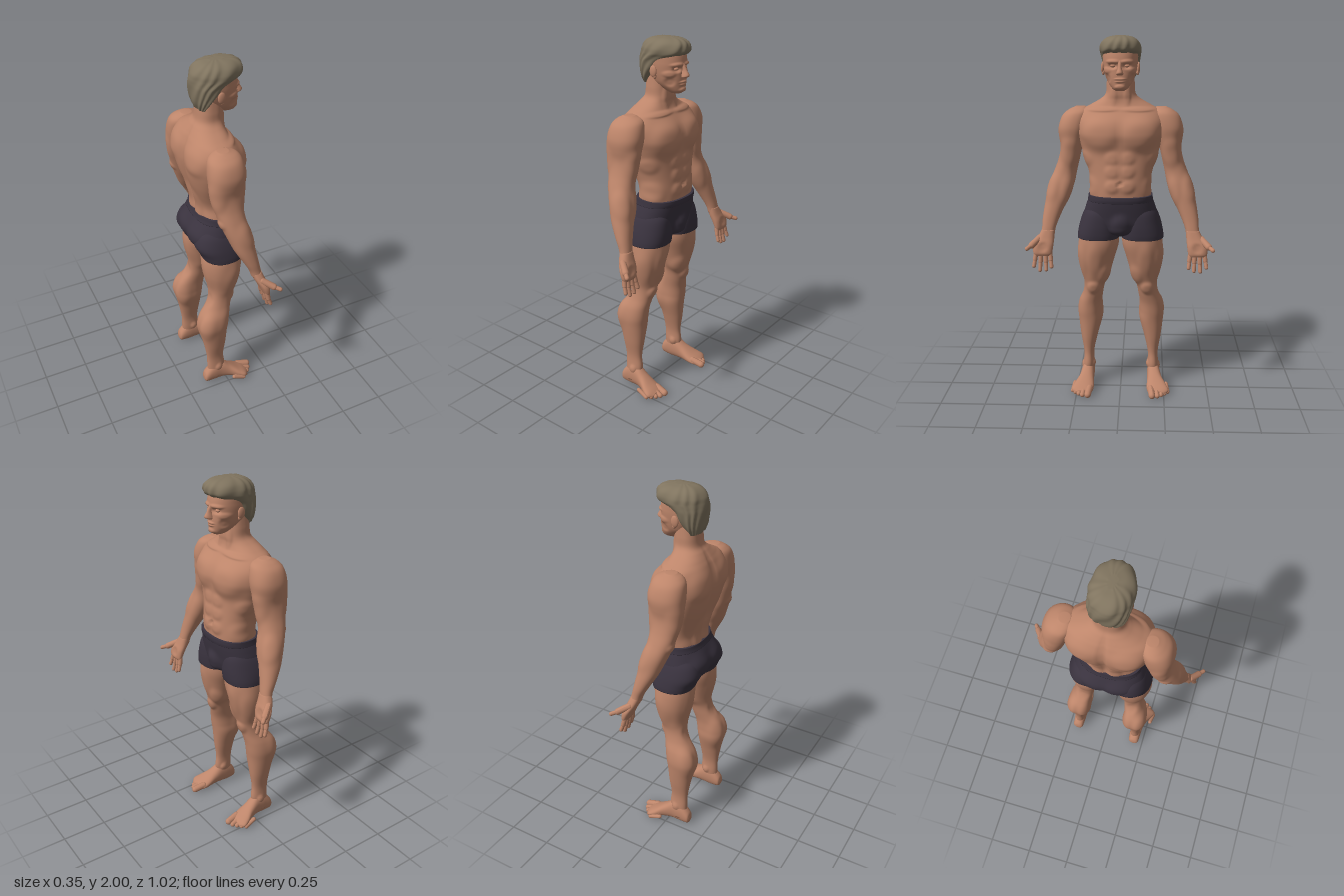
import * as THREE from 'three';
import { mergeGeometries } from 'three/addons/utils/BufferGeometryUtils.js';

const skin = new THREE.MeshStandardMaterial({ color: 0xbd856a });
skin.name = 'skin';
const hairTone = new THREE.MeshStandardMaterial({ color: 0x80745f });
hairTone.name = 'hair';
const cloth = new THREE.MeshStandardMaterial({ color: 0x3a333f });
cloth.name = 'dark cloth';

// Smooth body from horizontal slices [y, xBack, xFront, zMin, zMax] listed upward.
// Bumps [x, y, z, sizeX, sizeY, sizeZ, amount] swell or hollow the surface on both sides of z = 0.
function loft(rows, { power = 2.2, bumps = [], ripple = 0, n = 56, steps = 8 } = {}) {
  const curve = (a, b) => new THREE.CatmullRomCurve3(
    rows.map(r => new THREE.Vector3(r[0], r[a], r[b])), false, 'catmullrom', 0.5);
  const cx = curve(1, 2), cz = curve(3, 4);
  const m = (rows.length - 1) * steps, pos = [], index = [];
  const bend = v => Math.sign(v) * Math.abs(v) ** (2 / power);
  for (let j = 0; j <= m; j++) {
    const p = cx.getPoint(j / m), q = cz.getPoint(j / m), y = p.x;
    for (let i = 0; i < n; i++) {
      const t = i / n * Math.PI * 2, c = Math.cos(t), s = Math.sin(t);
      const x = (p.y + p.z) / 2 + bend(c) * (p.z - p.y) / 2;
      const z = (q.y + q.z) / 2 + bend(s) * (q.z - q.y) / 2;
      let push = ripple * Math.sin(11 * t + 45 * y + 2 * Math.sin(3 * t));
      for (const [bx, by, bz, sx, sy, sz, amount] of bumps) {
        const d = ((x - bx) / sx) ** 2 + ((y - by) / sy) ** 2 + ((Math.abs(z) - bz) / sz) ** 2;
        push += amount * Math.exp(-d * d);
      }
      pos.push(x + c * push, y, z + s * push);
      if (j < m) {
        const a = j * n + i, b = j * n + (i + 1) % n;
        index.push(a, a + n, b, b, a + n, b + n);
      }
    }
  }
  // end caps
  for (const [r, first, flip] of [[rows[0], 0, false], [rows[rows.length - 1], m * n, true]]) {
    const k = pos.length / 3;
    pos.push((r[1] + r[2]) / 2, r[0], (r[3] + r[4]) / 2);
    for (let i = 0; i < n; i++) {
      const a = first + i, b = first + (i + 1) % n;
      index.push(k, flip ? b : a, flip ? a : b);
    }
  }
  const g = new THREE.BufferGeometry();
  g.setAttribute('position', new THREE.Float32BufferAttribute(pos, 3));
  g.setIndex(index);
  g.computeVertexNormals();
  return g;
}

// Slices centred on z = 0: [y, xBack, xFront, halfWidth]
const centred = (rows, options) => loft(rows.map(([y, b, f, w]) => [y, b, f, -w, w]), options);

// Rounded rod between two points
function rod(a, b, r) {
  const p = new THREE.Vector3(...a), q = new THREE.Vector3(...b), d = q.clone().sub(p);
  const g = new THREE.CapsuleGeometry(r, d.length(), 5, 12);
  g.applyQuaternion(new THREE.Quaternion().setFromUnitVectors(new THREE.Vector3(0, 1, 0), d.normalize()));
  const c = p.add(q).multiplyScalar(0.5);
  return g.translate(c.x, c.y, c.z);
}

const ball = (x, y, z, sx, sy, sz) => new THREE.SphereGeometry(1, 20, 14).scale(sx, sy, sz).translate(x, y, z);

// Copy on the other side of z = 0, with faces turned to stay outward
function mirrored(g) {
  const out = g.clone().scale(1, 1, -1), ix = out.index.array;
  for (let i = 0; i < ix.length; i += 3) [ix[i], ix[i + 1]] = [ix[i + 1], ix[i]];
  out.computeVertexNormals();
  return out;
}

export function createModel() {
  const root = new THREE.Group();
  root.name = 'standingMan';
  const add = (name, g, mat) => {
    const mesh = new THREE.Mesh(g, mat);
    mesh.name = name;
    root.add(mesh);
  };
  // the figure looks along +x, so its own right side is +z
  const pair = (name, g, mat) => {
    add('right' + name, g, mat);
    add('left' + name, mirrored(g), mat);
  };

  // torso and neck: chest, abdomen, collarbone, back muscles and spine groove
  const abs = [1.37, 1.3, 1.22].map(y => [0.14, y, 0.04, 0.07, 0.034, 0.037, 0.008]);
  add('torso', centred([
    [1.1, -0.1, 0.13, 0.162], [1.16, -0.098, 0.135, 0.162], [1.22, -0.098, 0.136, 0.158],
    [1.3, -0.12, 0.13, 0.175], [1.38, -0.145, 0.125, 0.2], [1.45, -0.162, 0.126, 0.222],
    [1.5, -0.167, 0.126, 0.235], [1.56, -0.162, 0.112, 0.235], [1.61, -0.145, 0.08, 0.21],
    [1.64, -0.128, 0.058, 0.16], [1.67, -0.108, 0.05, 0.108], [1.7, -0.088, 0.052, 0.08],
    [1.75, -0.082, 0.05, 0.075], [1.81, -0.08, 0.05, 0.07],
  ], { power: 2.4, n: 96, steps: 10, bumps: [
    ...abs,
    [0.12, 1.5, 0.1, 0.12, 0.085, 0.098, 0.022],
    [0.05, 1.21, 0.155, 0.08, 0.055, 0.05, 0.009],
    [0.05, 1.36, 0.19, 0.06, 0.04, 0.05, 0.007],
    [0.06, 1.622, 0.1, 0.06, 0.012, 0.09, 0.008],
    [-0.14, 1.4, 0.13, 0.1, 0.15, 0.09, 0.01],
    [-0.16, 1.54, 0.12, 0.08, 0.075, 0.08, 0.012],
    [-0.1, 1.21, 0.045, 0.06, 0.11, 0.036, 0.01],
    [-0.15, 1.42, 0, 0.09, 0.24, 0.022, -0.018],
    [0.135, 1.235, 0, 0.03, 0.011, 0.011, -0.012],
    [0.04, 1.69, 0.035, 0.04, 0.06, 0.018, 0.006],
  ] }), skin);

  // head
  add('head', centred([
    [1.722, 0.055, 0.115, 0.024], [1.735, 0.03, 0.13, 0.042], [1.77, -0.035, 0.134, 0.067],
    [1.8, -0.06, 0.134, 0.079], [1.84, -0.085, 0.132, 0.088], [1.88, -0.095, 0.133, 0.092],
    [1.93, -0.09, 0.12, 0.09], [1.965, -0.06, 0.09, 0.065],
  ], { power: 2.25, n: 80, steps: 12, bumps: [
    [0.125, 1.87, 0.038, 0.04, 0.01, 0.034, 0.007],
    [0.13, 1.848, 0.037, 0.04, 0.014, 0.021, -0.013],
    [0.09, 1.825, 0.065, 0.035, 0.016, 0.025, 0.006],
    [0.09, 1.785, 0.06, 0.03, 0.022, 0.02, -0.006],
    [0.135, 1.783, 0, 0.03, 0.006, 0.025, 0.007],
    [0.135, 1.77, 0, 0.03, 0.006, 0.022, 0.006],
    [0.13, 1.742, 0, 0.03, 0.012, 0.024, 0.007],
  ] }), skin);
  add('nose', centred([
    [1.802, 0.115, 0.14, 0.012], [1.808, 0.115, 0.16, 0.019], [1.818, 0.115, 0.167, 0.017],
    [1.84, 0.115, 0.154, 0.01], [1.865, 0.115, 0.141, 0.009], [1.88, 0.115, 0.132, 0.008],
  ], { n: 24, steps: 5 }), skin);
  pair('Eye', ball(0.112, 1.849, 0.036, 0.012, 0.008, 0.014), skin);
  pair('Ear', mergeGeometries([
    ball(0.012, 1.835, 0.094, 0.021, 0.03, 0.009).rotateX(0),
    ball(0.018, 1.81, 0.09, 0.011, 0.014, 0.008),
  ]), skin);
  add('hair', centred([
    [1.765, -0.086, -0.04, 0.062], [1.8, -0.1, -0.012, 0.083], [1.84, -0.108, 0.02, 0.095],
    [1.88, -0.112, 0.055, 0.101], [1.905, -0.112, 0.105, 0.104], [1.925, -0.11, 0.147, 0.106],
    [1.95, -0.104, 0.155, 0.103], [1.975, -0.085, 0.145, 0.088], [1.992, -0.055, 0.115, 0.06],
    [2, -0.01, 0.06, 0.02],
  ], { ripple: 0.003, n: 88 }), hairTone);

  // shorts
  add('shortsSeat', centred([
    [0.925, -0.03, 0.05, 0.05], [0.955, -0.11, 0.108, 0.12], [1, -0.143, 0.122, 0.19],
    [1.05, -0.148, 0.13, 0.2], [1.1, -0.13, 0.138, 0.188], [1.145, -0.108, 0.143, 0.172],
    [1.16, -0.105, 0.144, 0.17],
  ], { power: 2.4, n: 80, bumps: [
    [-0.14, 1.03, 0.085, 0.09, 0.08, 0.075, 0.014],
    [0.12, 1, 0, 0.06, 0.06, 0.042, 0.022],
  ] }), cloth);
  add('waistband', centred([
    [1.13, -0.117, 0.145, 0.178], [1.145, -0.112, 0.148, 0.176], [1.163, -0.108, 0.148, 0.174],
  ], { power: 2.4, n: 80 }), cloth);
  pair('ShortsLeg', loft([
    [0.918, -0.112, 0.119, 0.006, 0.238], [0.95, -0.125, 0.123, 0.003, 0.235],
    [1, -0.148, 0.124, 0.003, 0.224], [1.06, -0.135, 0.118, 0.015, 0.202], [1.1, -0.1, 0.1, 0.04, 0.175],
  ], { power: 2.3 }), cloth);

  // legs: thigh muscles, kneecap, calf heads, shin and ankle bones
  pair('Leg', loft([
    [0.04, -0.11, -0.025, 0.162, 0.226], [0.12, -0.112, -0.006, 0.157, 0.22],
    [0.2, -0.114, -0.012, 0.157, 0.216], [0.3, -0.13, 0, 0.136, 0.231],
    [0.4, -0.152, 0.01, 0.11, 0.243], [0.46, -0.158, 0.018, 0.109, 0.247],
    [0.52, -0.142, 0.026, 0.108, 0.237], [0.58, -0.106, 0.04, 0.1, 0.214],
    [0.64, -0.082, 0.055, 0.088, 0.205], [0.7, -0.077, 0.073, 0.062, 0.213],
    [0.8, -0.098, 0.096, 0.032, 0.231], [0.88, -0.107, 0.11, 0.01, 0.233],
    [0.96, -0.1, 0.11, 0.008, 0.222],
  ], { n: 64, bumps: [
    [0.05, 0.625, 0.15, 0.035, 0.035, 0.034, 0.012],
    [0.05, 0.7, 0.085, 0.06, 0.06, 0.036, 0.01],
    [0.04, 0.78, 0.22, 0.06, 0.1, 0.04, 0.008],
    [0.09, 0.8, 0.14, 0.05, 0.1, 0.04, 0.008],
    [-0.09, 0.78, 0.13, 0.05, 0.13, 0.05, 0.007],
    [-0.13, 0.45, 0.13, 0.06, 0.1, 0.036, 0.009],
    [-0.13, 0.47, 0.22, 0.06, 0.09, 0.036, 0.009],
    [-0.08, 0.61, 0.15, 0.04, 0.05, 0.03, -0.007],
    [-0.05, 0.115, 0.22, 0.02, 0.022, 0.02, 0.009],
    [-0.045, 0.125, 0.155, 0.02, 0.022, 0.02, 0.009],
  ] }), skin);

  // feet: slices run from heel to ball as [x, zMin, zMax, yMin, yMax], then turn to lie along x
  const foot = loft([
    [-0.138, 0.178, 0.208, 0.025, 0.055], [-0.126, 0.162, 0.222, 0.008, 0.085],
    [-0.08, 0.156, 0.226, 0.002, 0.13], [-0.03, 0.155, 0.229, 0.005, 0.132],
    [0.02, 0.155, 0.242, 0.006, 0.098], [0.07, 0.152, 0.268, 0.002, 0.065],
    [0.105, 0.156, 0.276, 0.002, 0.045], [0.128, 0.168, 0.25, 0.005, 0.03],
  ], { n: 40 });
  const fp = foot.attributes.position;
  for (let i = 0; i < fp.count; i++) fp.setXYZ(i, fp.getY(i), fp.getZ(i), fp.getX(i));
  foot.computeVertexNormals();
  pair('Foot', foot, skin);
  const toes = [[0.155, 0.183, 0.019], [0.147, 0.213, 0.014], [0.132, 0.235, 0.013],
    [0.113, 0.255, 0.0125], [0.092, 0.272, 0.012]];
  pair('Toes', mergeGeometries(toes.map(([x, z, r]) =>
    rod([x - 0.06, 0.032, z - 0.008], [x, r, z], r))), skin);

  // arms: deltoid, biceps, triceps and forearm
  pair('Arm', loft([
    [0.94, 0.045, 0.1, 0.36, 0.434], [0.98, 0.032, 0.094, 0.353, 0.428],
    [1.03, 0.005, 0.085, 0.334, 0.425], [1.1, -0.035, 0.074, 0.302, 0.415],
    [1.16, -0.06, 0.064, 0.275, 0.402], [1.22, -0.083, 0.052, 0.252, 0.386],
    [1.28, -0.103, 0.04, 0.24, 0.364], [1.34, -0.116, 0.036, 0.226, 0.342],
    [1.4, -0.125, 0.04, 0.212, 0.329], [1.46, -0.133, 0.053, 0.192, 0.329],
    [1.52, -0.136, 0.06, 0.176, 0.328], [1.58, -0.128, 0.05, 0.165, 0.308],
    [1.61, -0.105, 0.03, 0.17, 0.28], [1.628, -0.07, -0.015, 0.19, 0.245],
  ], { n: 64, bumps: [
    [-0.04, 1.53, 0.32, 0.1, 0.085, 0.07, 0.008],
    [0.03, 1.39, 0.27, 0.05, 0.075, 0.05, 0.01],
    [-0.11, 1.41, 0.29, 0.05, 0.08, 0.05, 0.009],
    [0.03, 1.2, 0.375, 0.06, 0.08, 0.04, 0.008],
    [0.03, 1.17, 0.29, 0.06, 0.08, 0.035, 0.006],
    [-0.09, 1.26, 0.31, 0.025, 0.025, 0.03, 0.008],
  ] }), skin);

  // hands: palms forward, thumbs out
  pair('Palm', loft([
    [0.832, 0.1, 0.125, 0.378, 0.464], [0.85, 0.09, 0.13, 0.37, 0.474],
    [0.89, 0.072, 0.126, 0.364, 0.472], [0.93, 0.052, 0.11, 0.36, 0.45],
    [0.97, 0.04, 0.096, 0.358, 0.428],
  ], { n: 36, power: 2.5, bumps: [[0.12, 0.88, 0.42, 0.03, 0.025, 0.025, -0.008]] }), skin);
  const fingers = [[0.382, 0.374, 0.772], [0.407, 0.403, 0.755], [0.433, 0.437, 0.752], [0.459, 0.47, 0.775]];
  pair('Fingers', mergeGeometries(fingers.flatMap(([z0, z1, tip]) => {
    const knuckle = [0.115, (0.845 + tip) / 2, (z0 + z1) / 2];
    return [rod([0.108, 0.845, z0], knuckle, 0.0125), rod(knuckle, [0.126, tip, z1], 0.0105)];
  })), skin);
  pair('Thumb', mergeGeometries([
    rod([0.085, 0.925, 0.44], [0.135, 0.895, 0.478], 0.018),
    rod([0.135, 0.895, 0.478], [0.163, 0.884, 0.5], 0.0115),
  ]), skin);

  return root;
}
